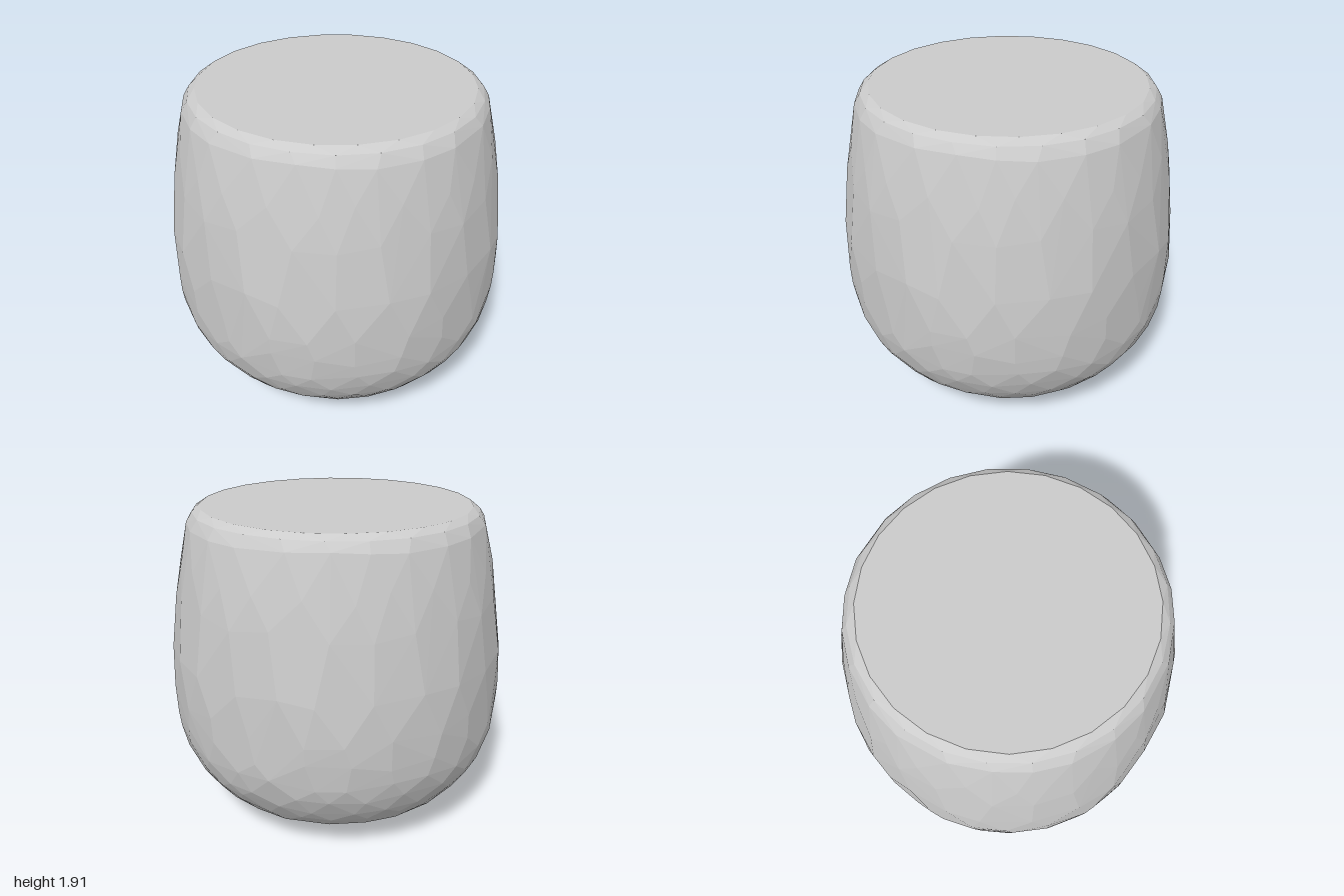
import * as THREE from 'three';
import { ConvexGeometry } from 'three/addons/geometries/ConvexGeometry.js';

// Rings from bottom to top: height, radius, points per quarter turn, stagger, jitter
const RINGS = [
  [0.00, 0.39, 5, 0.5, 0],
  [0.05, 0.535, 5, 0.0, 0.012],
  [0.125, 0.685, 6, 0.5, 0.015],
  [0.21, 0.815, 6, 0.0, 0.02],
  [0.29, 0.88, 7, 0.5, 0.02],
  [0.375, 0.937, 7, 0.0, 0.02],
  [0.47, 0.98, 7, 0.5, 0.02],
  [0.57, 1.006, 7, 0.0, 0.02],
  [0.70, 1.02, 6, 0.5, 0.03],
  [0.84, 1.024, 6, 0.5, 0.03],
  [1.08, 1.012, 6, 0.0, 0.03],
  [1.40, 0.968, 6, 0.0, 0.04],
  [1.62, 0.925, 6, 0.5, 0.04],
  [1.83, 0.877, 6, 0.0, 0.015],
  [1.885, 0.843, 6, 0.0, 0.003],
  [1.915, 0.798, 6, 0.5, 0],
];

// Small seeded generator in the range -1..1
function makeNoise(seed) {
  return () => {
    seed = (seed * 16807) % 2147483647;
    return (seed / 2147483647) * 2 - 1;
  };
}

// Radius of the profile at any height
function radiusAt(y) {
  for (let i = 1; i < RINGS.length; i++) {
    const [y0, r0] = RINGS[i - 1];
    const [y1, r1] = RINGS[i];
    if (y <= y1) return THREE.MathUtils.lerp(r0, r1, (y - y0) / (y1 - y0));
  }
  return RINGS[RINGS.length - 1][1];
}

export function createModel() {
  const group = new THREE.Group();
  group.name = 'facetedCup';
  const noise = makeNoise(4721);
  const clamp = (v) => THREE.MathUtils.clamp(v, -1, 1);
  const points = [];

  // Each quarter repeats; the four sides are cut flat at a distance of 1
  for (const [ringY, , count, stagger, jitter] of RINGS) {
    for (let i = 0; i < count; i++) {
      const step = Math.PI / 2 / count;
      const angle = (i + stagger + noise() * 0.16 * (jitter > 0.005 ? 1 : 0)) * step;
      const y = ringY + noise() * jitter;
      const r = radiusAt(y);
      for (let q = 0; q < 4; q++) {
        const a = angle + (q * Math.PI) / 2;
        points.push(new THREE.Vector3(clamp(r * Math.sin(a)), y, clamp(r * Math.cos(a))));
      }
    }
  }

  // Solid chiselled body with flat top and base
  const material = new THREE.MeshStandardMaterial({ color: 0xcccccc, flatShading: true });
  const body = new THREE.Mesh(new ConvexGeometry(points), material);
  body.name = 'facetedBody';
  group.add(body);
  return group;
}
